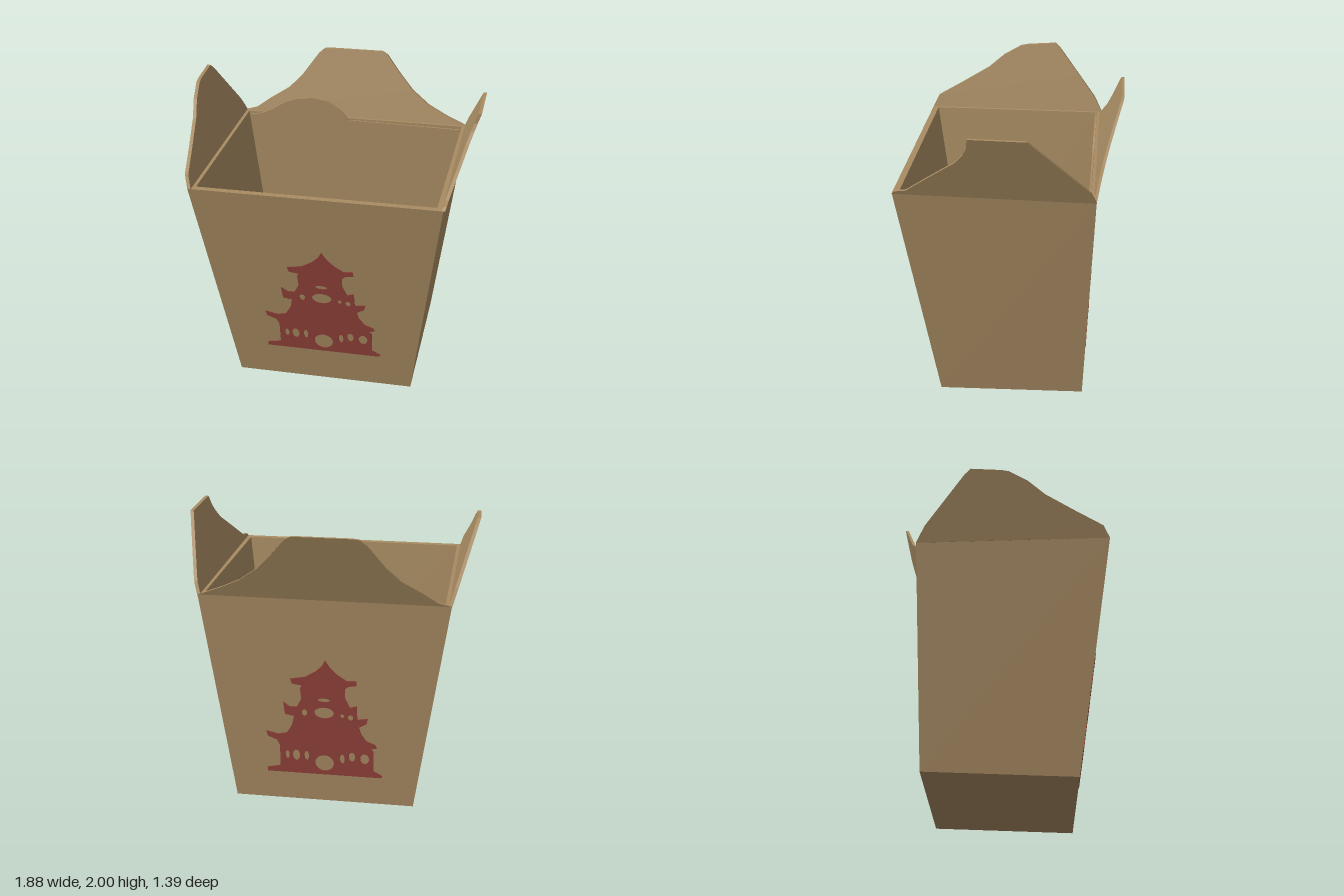
import * as THREE from 'three';

const card = new THREE.MeshStandardMaterial({ color: 0xa88b62 });
card.name = 'brown card';
const ink = new THREE.MeshStandardMaterial({ color: 0x93423a });
ink.name = 'red ink';

// Corner rings, counter-clockwise from above: front -x, front +x, back +x, back -x
const outerBottom = [[-0.615, 0, 0.46], [0.585, 0, 0.46], [0.62, 0.05, -0.5], [-0.59, 0.05, -0.5]];
const outerTop = [[-0.83, 1.53, 0.69], [0.76, 1.53, 0.69], [0.81, 1.54, -0.555], [-0.79, 1.54, -0.555]];
const innerBottom = [[-0.57, 0.03, 0.425], [0.55, 0.03, 0.425], [0.57, 0.08, -0.465], [-0.56, 0.08, -0.465]];
const innerTop = [[-0.785, 1.53, 0.65], [0.72, 1.53, 0.65], [0.77, 1.54, -0.52], [-0.75, 1.54, -0.52]];

// Flat-shaded geometry from four-cornered faces
function quads(list) {
  const pos = [];
  for (const [a, b, c, d] of list) pos.push(...a, ...b, ...c, ...a, ...c, ...d);
  const g = new THREE.BufferGeometry();
  g.setAttribute('position', new THREE.Float32BufferAttribute(pos, 3));
  g.computeVertexNormals();
  return g;
}

// Thin sheet cut to a shape, each point placed by place(u, y, w)
function sheet(shape, depth, place) {
  const g = new THREE.ExtrudeGeometry(shape, { depth, bevelEnabled: false, curveSegments: 12 });
  const p = g.attributes.position;
  for (let i = 0; i < p.count; i++) p.setXYZ(i, ...place(p.getX(i), p.getY(i), p.getZ(i)));
  g.computeVertexNormals();
  return g;
}

const outline = (pts) => new THREE.Shape(pts.map(([x, y]) => new THREE.Vector2(x, y)));

// Pagoda silhouette with window holes
function pagodaShape() {
  const s = outline([
    [-0.4, 0.26], [0.37, 0.26], [0.38, 0.275], [0.32, 0.31], [0.32, 0.46], [0.3, 0.48], [0.34, 0.49],
    [0.33, 0.515], [0.27, 0.54], [0.235, 0.59], [0.22, 0.64], [0.27, 0.67], [0.28, 0.71], [0.21, 0.7],
    [0.205, 0.8], [0.16, 0.785], [0.13, 0.85], [0.13, 0.92], [0.15, 0.94], [0.205, 0.95], [0.2, 0.985],
    [0.14, 0.98], [0.08, 1.02], [0.03, 1.07], [0, 1.12], [-0.02, 1.08], [-0.06, 1.04], [-0.13, 0.995],
    [-0.23, 0.975], [-0.22, 0.94], [-0.155, 0.93], [-0.165, 0.91], [-0.16, 0.83], [-0.19, 0.77],
    [-0.24, 0.77], [-0.28, 0.8], [-0.27, 0.71], [-0.21, 0.7], [-0.225, 0.63], [-0.26, 0.57], [-0.32, 0.555],
    [-0.4, 0.575], [-0.39, 0.535], [-0.33, 0.51], [-0.31, 0.47], [-0.31, 0.31], [-0.4, 0.29],
  ]);
  // Holes: centre x, centre y, half width, half height
  const holes = [
    [-0.01, 0.35, 0.063, 0.06], [-0.01, 0.735, 0.065, 0.04], [-0.01, 0.83, 0.04, 0.013],
    [-0.26, 0.4, 0.014, 0.03], [-0.2, 0.4, 0.024, 0.04], [-0.13, 0.4, 0.015, 0.035],
    [0.11, 0.39, 0.016, 0.035], [0.175, 0.41, 0.022, 0.035], [0.26, 0.4, 0.03, 0.038],
    [-0.14, 0.73, 0.018, 0.025], [0.11, 0.72, 0.012, 0.015], [0.165, 0.71, 0.018, 0.02],
  ];
  for (const [x, y, rx, ry] of holes) {
    const h = new THREE.Path();
    h.absellipse(x, y, rx, ry, 0, Math.PI * 2, true);
    s.holes.push(h);
  }
  return s;
}

export function createModel() {
  const group = new THREE.Group();
  const add = (name, geometry, material = card) => {
    const m = new THREE.Mesh(geometry, material);
    m.name = name;
    group.add(m);
  };

  // Tapered walls: outside, inside and rim of each
  ['frontWall', 'leftWall', 'backWall', 'rightWall'].forEach((name, i) => {
    const j = (i + 1) % 4;
    add(name, quads([
      [outerBottom[i], outerBottom[j], outerTop[j], outerTop[i]],
      [innerBottom[j], innerBottom[i], innerTop[i], innerTop[j]],
      [outerTop[i], outerTop[j], innerTop[j], innerTop[i]],
    ]));
  });
  add('floor', quads([innerBottom, [...outerBottom].reverse()]));

  // Back flap, leaning outwards
  const backFlap = outline([
    [-0.81, 1.535], [0.79, 1.535], [0.7, 1.56], [0.6, 1.63], [0.47, 1.71], [0.38, 1.8], [0.27, 1.95],
    [0.23, 1.985], [0.19, 1.99], [-0.18, 1.99], [-0.22, 1.97], [-0.31, 1.86], [-0.41, 1.75], [-0.53, 1.66], [-0.65, 1.6],
  ]);
  add('backFlap', sheet(backFlap, 0.018, (u, y, w) => [-u, y, -0.535 - 0.32 * (y - 1.53) - w]));

  // Side flaps, leaning outwards
  const leftFlap = outline([
    [-0.69, 1.53], [0.555, 1.535], [0.52, 1.61], [0.48, 1.65], [0.18, 1.93], [0.15, 1.96], [-0.2, 1.96],
    [-0.205, 1.9], [-0.23, 1.85], [-0.28, 1.79], [-0.45, 1.67], [-0.6, 1.56], [-0.67, 1.55],
  ]);
  add('leftFlap', sheet(leftFlap, 0.022, (u, y, w) =>
    [0.788 - 0.04 * (0.555 - u) / 1.245 + 0.33 * (y - 1.53) + w, y, -u]));
  const rightFlap = outline([
    [-0.555, 1.535], [0.69, 1.53], [0.65, 1.61], [0.47, 1.71], [0.28, 1.82], [0.17, 1.91], [0.05, 1.975],
    [0, 1.985], [-0.2, 2], [-0.24, 1.965], [-0.38, 1.79], [-0.5, 1.64],
  ]);
  add('rightFlap', sheet(rightFlap, 0.022, (u, y, w) =>
    [-(0.768 + 0.04 * (u + 0.555) / 1.245 + 0.29 * (y - 1.53) + w), y, u]));

  // Liner inside the back wall with a rounded tab
  const liner = outline([
    [-0.555, 0.085], [0.565, 0.085], [0.755, 1.52], [-0.02, 1.53], [-0.1, 1.61], [-0.18, 1.66], [-0.28, 1.677],
    [-0.38, 1.668], [-0.48, 1.635], [-0.58, 1.57], [-0.66, 1.535], [-0.74, 1.52],
  ]);
  add('innerTab', sheet(liner, 0.012, (u, y, w) => [u, y, -0.463 - 0.055 * (y - 0.08) / 1.46 + w]));

  // Printed pagodas on front and back
  const pagoda = pagodaShape();
  add('frontPagoda', sheet(pagoda, 0.005, (u, y, w) => [u, y, 0.46 + 0.23 * y / 1.53 + w]), ink);
  add('backPagoda', sheet(pagoda, 0.005, (u, y, w) => [-u, y, -0.5 - 0.055 * (y - 0.05) / 1.49 - w]), ink);

  return group;
}
